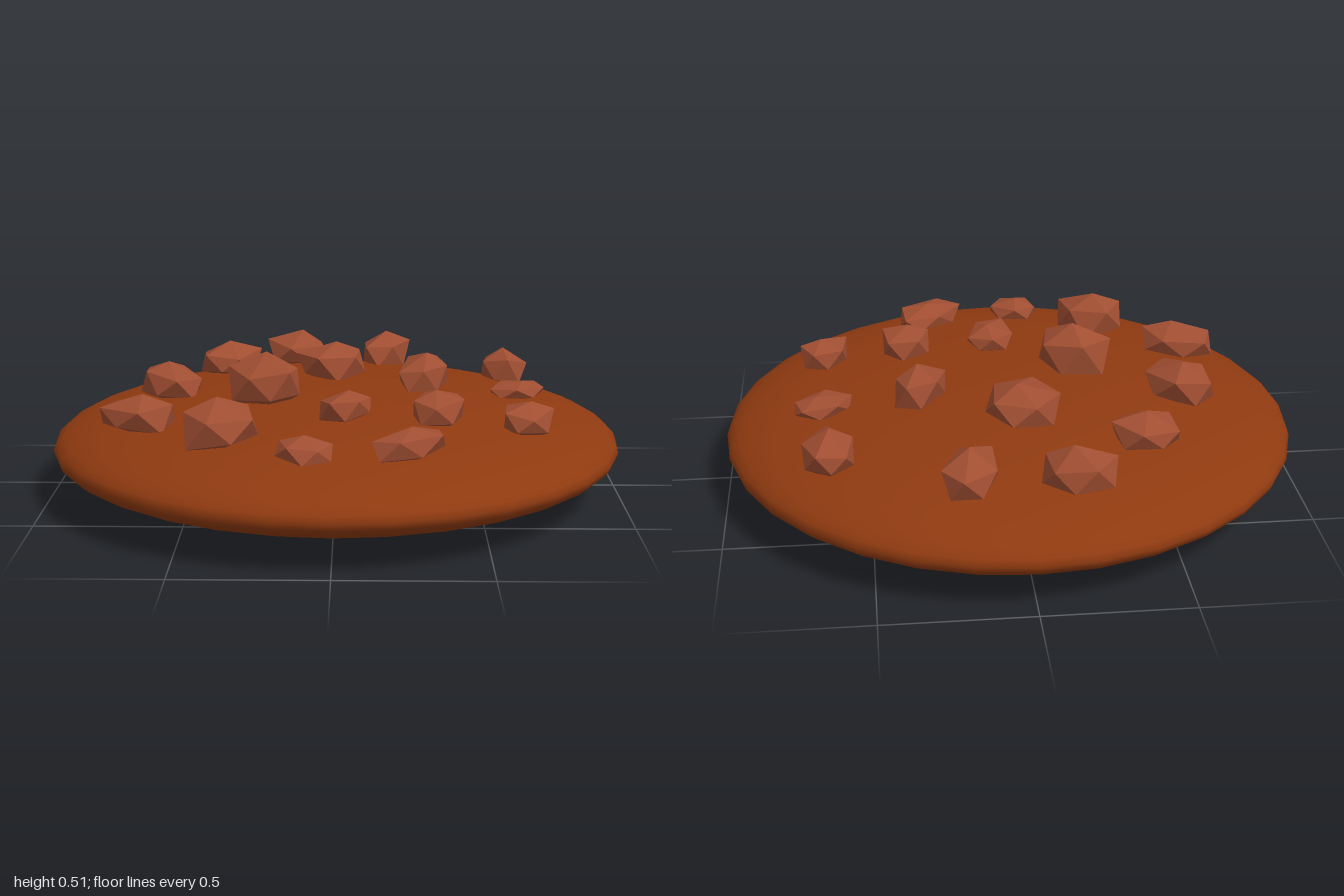
import * as THREE from 'three';

const HALF = 0.175; // half thickness of the biscuit

// Centre x, centre z, half length, half width, long-axis angle (from +x towards -z), peak height
const CHUNKS = [
  [-0.16, -0.70, 0.125, 0.11, -0.4, 0.43],
  [0.185, -0.69, 0.14, 0.085, 1.2, 0.43],
  [0.635, -0.475, 0.115, 0.085, 1.6, 0.41],
  [-0.415, -0.47, 0.12, 0.11, 0.2, 0.43],
  [-0.025, -0.285, 0.135, 0.125, 1.5, 0.465],
  [-0.60, -0.095, 0.14, 0.10, -0.95, 0.43],
  [0.315, -0.11, 0.14, 0.085, 1.15, 0.465],
  [0.655, -0.11, 0.115, 0.08, 0.6, 0.36],
  [-0.245, 0.105, 0.13, 0.11, -0.4, 0.51],
  [-0.665, 0.305, 0.14, 0.10, -0.35, 0.41],
  [0.035, 0.325, 0.11, 0.085, 1.2, 0.425],
  [0.35, 0.325, 0.11, 0.09, 1.2, 0.43],
  [0.65, 0.325, 0.115, 0.085, 1.1, 0.39],
  [-0.37, 0.535, 0.14, 0.13, 1.4, 0.45],
  [-0.09, 0.705, 0.10, 0.085, -0.8, 0.37],
  [0.245, 0.65, 0.145, 0.085, 0.7, 0.385],
];

// Repeatable value from -1 to 1 for a vertex, so shared corners stay joined
function jitter(v, seed) {
  const s = Math.sin(v.x * 12.9 + v.y * 78.2 + v.z * 37.7 + seed * 4.1) * 437.5;
  return (s - Math.floor(s)) * 2 - 1;
}

// Height of the biscuit's upper surface
const surfaceY = (x, z) => HALF * (1 + Math.sqrt(1 - x * x - z * z));

// Irregular faceted lump, corner up, with its lower part sunk into the biscuit
function chunkGeometry(length, width, height, seed) {
  const geometry = new THREE.IcosahedronGeometry(1, 0);
  geometry.rotateZ(Math.atan(2 / (1 + Math.sqrt(5))));
  geometry.rotateY(seed * 1.7);
  const position = geometry.attributes.position;
  const v = new THREE.Vector3();
  for (let i = 0; i < position.count; i++) {
    v.fromBufferAttribute(position, i);
    v.set(...v.toArray().map((n) => Math.round(n * 1000) / 1000));
    const apex = v.y > 0.9;
    const spread = 1.08 + 0.1 * jitter(v, seed);
    const lift = apex ? 0 : 0.12 * jitter(v, seed + 9);
    const shift = apex ? 0.18 : 0;
    position.setXYZ(
      i,
      (v.x * spread + shift * jitter(v, seed + 3)) * length,
      (0.35 + 0.65 * v.y + lift) * height,
      (v.z * spread + shift * jitter(v, seed + 6)) * width
    );
  }
  geometry.computeVertexNormals();
  return geometry;
}

export function createModel() {
  const model = new THREE.Group();
  model.name = 'biscuit';

  // Smooth flattened round base
  const baseMaterial = new THREE.MeshStandardMaterial({ color: 0x8f3a10 });
  const base = new THREE.Mesh(new THREE.SphereGeometry(1, 32, 24), baseMaterial);
  base.name = 'base';
  base.scale.y = HALF;
  base.position.y = HALF;
  model.add(base);

  // Scattered chunks on top
  const chunkMaterial = new THREE.MeshStandardMaterial({ color: 0xa04e32, flatShading: true });
  const chunks = new THREE.Group();
  chunks.name = 'chunks';
  CHUNKS.forEach(([x, z, length, width, angle, top], i) => {
    const y = surfaceY(x, z);
    const chunk = new THREE.Mesh(chunkGeometry(length, width, top - y, i + 1), chunkMaterial);
    chunk.name = `chunk${i + 1}`;
    chunk.position.set(x, y, z);
    chunk.rotation.y = angle;
    chunks.add(chunk);
  });
  model.add(chunks);

  return model;
}
